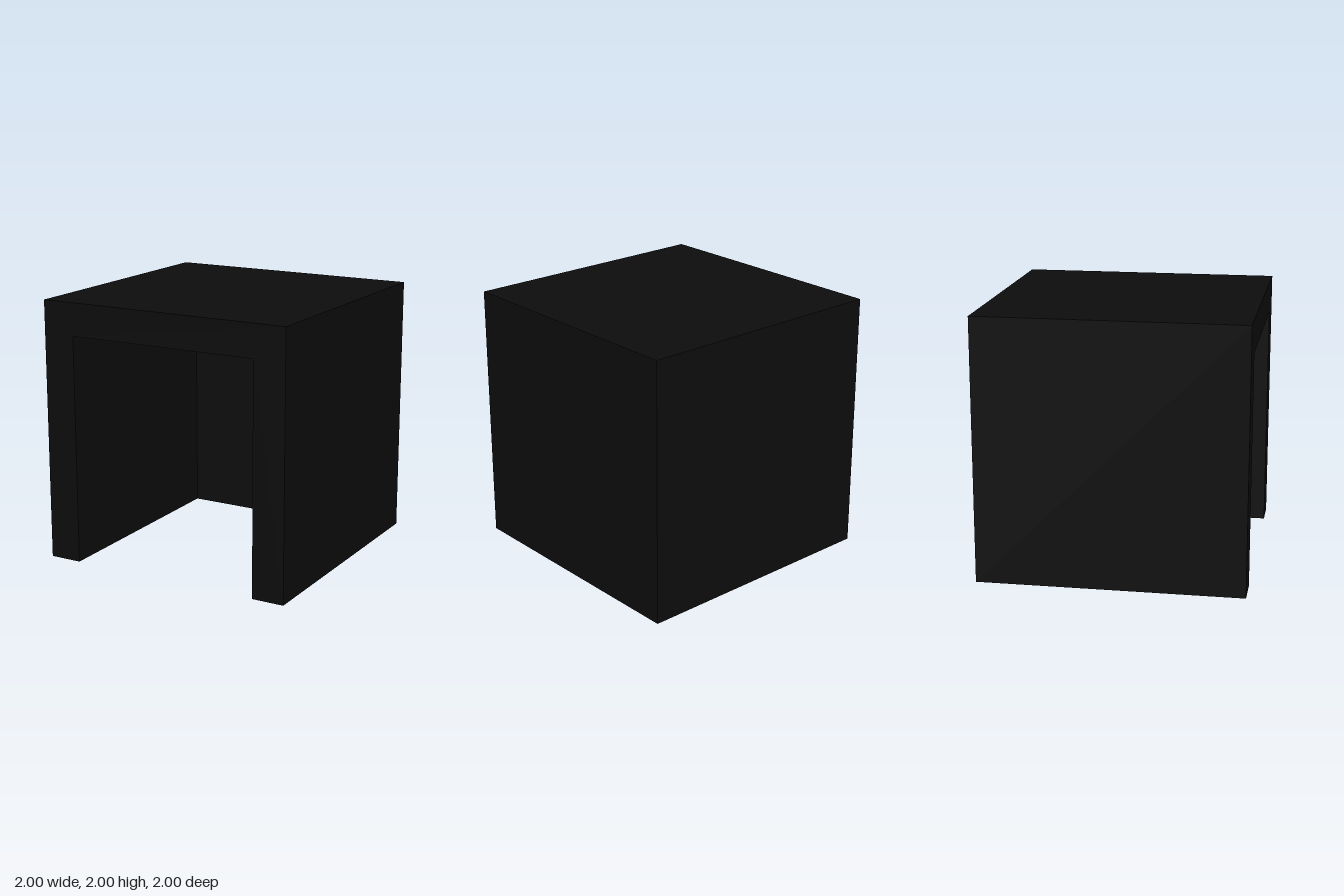
import * as THREE from 'three';

export function createModel() {
  const model = new THREE.Group();
  model.name = 'openHood';
  const black = new THREE.MeshStandardMaterial({ color: 0x0d0d0d });
  black.name = 'black';

  const add = (name, geometry, x, y, z) => {
    const mesh = new THREE.Mesh(geometry, black);
    mesh.name = name;
    mesh.position.set(x, y, z);
    model.add(mesh);
  };

  // Side walls and roof: one arch profile, open at the front and bottom
  const arch = new THREE.Shape([
    [-1, 0], [-0.75, 0], [-0.75, 1.75], [0.75, 1.75],
    [0.75, 0], [1, 0], [1, 2], [-1, 2],
  ].map(([x, y]) => new THREE.Vector2(x, y)));
  add('wallsAndRoof', new THREE.ExtrudeGeometry(arch, { depth: 2, bevelEnabled: false }), 0, 0, -1);

  // Back wall closing the arch
  add('backWall', new THREE.BoxGeometry(1.5, 1.75, 0.25), 0, 0.875, -0.875);

  // Small block hanging from the ceiling
  add('ceilingBlock', new THREE.BoxGeometry(0.5, 0.125, 0.5), 0, 1.6875, 0);

  return model;
}
